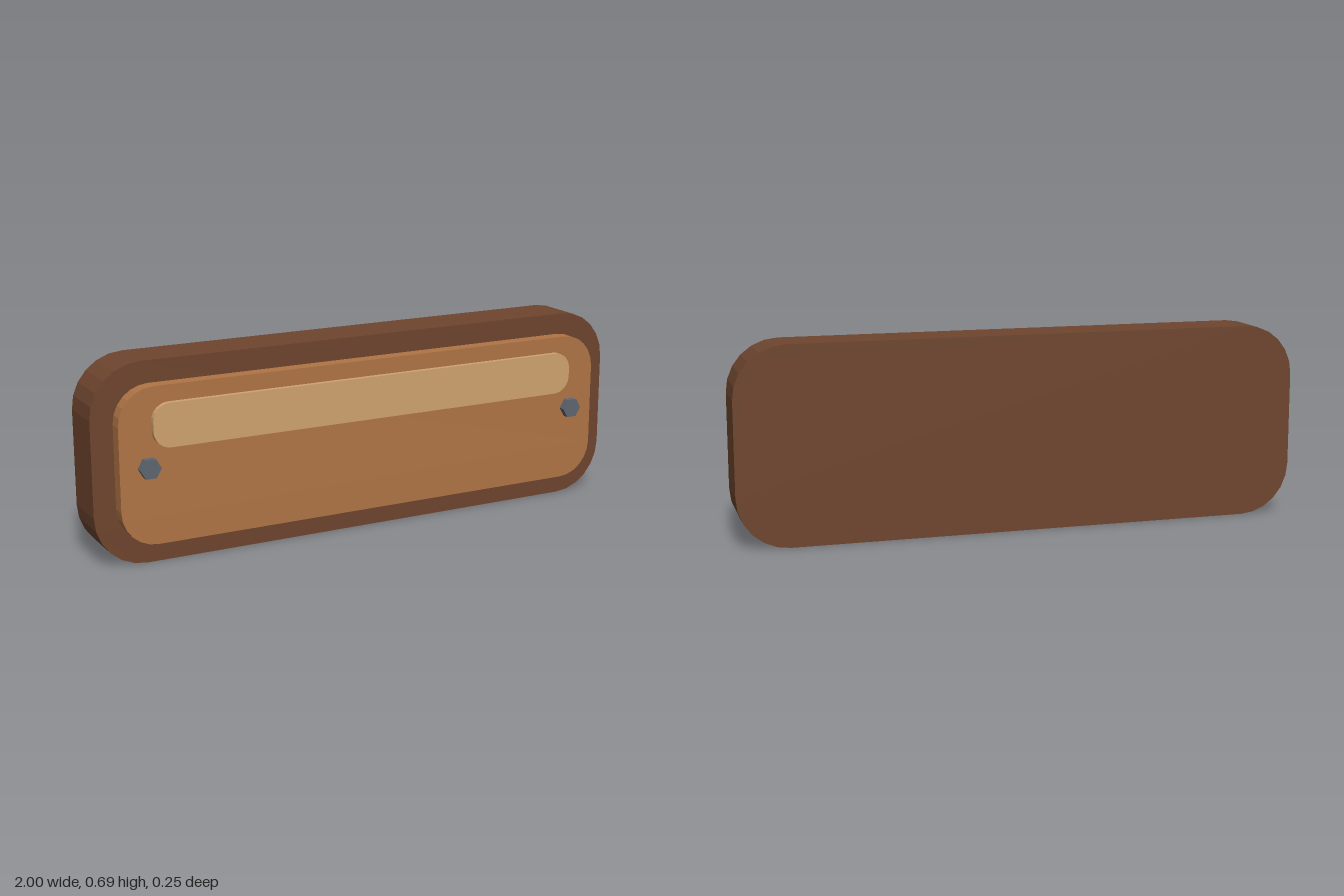
import * as THREE from 'three';

const mat = (name, color) => {
  const m = new THREE.MeshStandardMaterial({ color });
  m.name = name;
  return m;
};

// Rounded rectangle slab running from z0 to z1
function slab(name, width, y0, y1, r, z0, z1, material) {
  const x = width / 2;
  const s = new THREE.Shape();
  s.moveTo(-x + r, y0);
  s.absarc(x - r, y0 + r, r, -Math.PI / 2, 0);
  s.absarc(x - r, y1 - r, r, 0, Math.PI / 2);
  s.absarc(-x + r, y1 - r, r, Math.PI / 2, Math.PI);
  s.absarc(-x + r, y0 + r, r, Math.PI, Math.PI * 1.5);
  // absarc samples twice per curve segment: six facets per corner
  const geo = new THREE.ExtrudeGeometry(s, { depth: z1 - z0, bevelEnabled: false, curveSegments: 3 });
  geo.translate(0, 0, z0);
  const mesh = new THREE.Mesh(geo, material);
  mesh.name = name;
  return mesh;
}

export function createModel() {
  const group = new THREE.Group();
  group.name = 'wallPlaque';

  const darkWood = mat('dark wood', 0x6e452e);
  const midWood = mat('mid wood', 0xb07545);
  const paleWood = mat('pale wood', 0xd0a36f);
  const steel = mat('steel', 0x5f6670);

  // Stacked boards
  group.add(slab('backBoard', 2, 0, 0.688, 0.18, -0.125, 0.05, darkWood));
  group.add(slab('frontPanel', 1.846, 0.077, 0.613, 0.125, 0.05, 0.1, midWood));
  group.add(slab('raisedStrip', 1.62, 0.407, 0.557, 0.06, 0.1, 0.119, paleWood));

  // Hexagonal bolt heads, corners pointing sideways
  const hex = new THREE.CylinderGeometry(0.037, 0.037, 0.025, 6, 1, false, Math.PI / 2).toNonIndexed();
  hex.computeVertexNormals();
  hex.rotateX(Math.PI / 2);
  for (const side of [-1, 1]) {
    const bolt = new THREE.Mesh(hex, steel);
    bolt.name = side > 0 ? 'leftBolt' : 'rightBolt';
    bolt.position.set(side * 0.825, 0.344, 0.1125);
    group.add(bolt);
  }
  return group;
}
